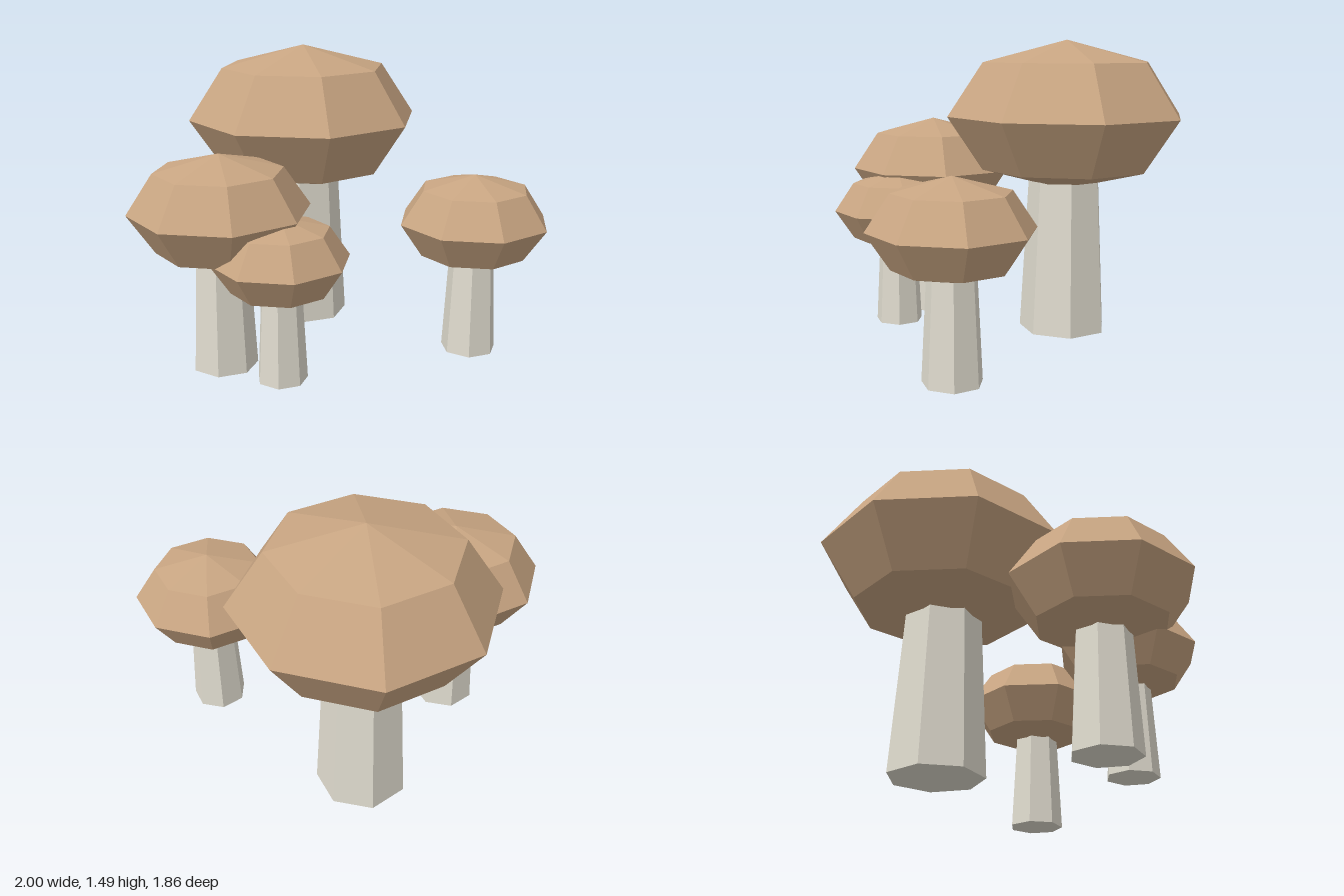
import * as THREE from 'three';

const capMaterial = new THREE.MeshStandardMaterial({ color: 0xc8a582, flatShading: true });
const stemMaterial = new THREE.MeshStandardMaterial({ color: 0xe0dccf, flatShading: true });

// One mushroom with a cap of radius 1; all mushrooms are scaled copies.
const STEM_HEIGHT = 1.45;
const capGeometry = new THREE.SphereGeometry(1, 8, 4).scale(1, 0.62, 1).translate(0, 1.81, 0);
// Seven-sided tapered stem with a flat side facing the front
const stemGeometry = new THREE.CylinderGeometry(0.295, 0.37, STEM_HEIGHT, 7, 1, false, Math.PI)
  .translate(0, STEM_HEIGHT / 2, 0);

function createMushroom(name, x, z, radius) {
  const mushroom = new THREE.Group();
  mushroom.name = name;

  const cap = new THREE.Mesh(capGeometry, capMaterial);
  cap.name = 'cap';
  const stem = new THREE.Mesh(stemGeometry, stemMaterial);
  stem.name = 'stem';

  mushroom.add(cap, stem);
  mushroom.position.set(x, 0, z);
  mushroom.scale.setScalar(radius);
  return mushroom;
}

export function createModel() {
  const model = new THREE.Group();
  model.name = 'mushroomCluster';
  model.add(
    createMushroom('largeMushroom', -0.385, -0.32, 0.615),
    createMushroom('mediumMushroom', -0.335, 0.488, 0.44),
    createMushroom('sideMushroom', 0.62, -0.32, 0.378),
    createMushroom('smallMushroom', 0, 0.475, 0.333),
  );
  return model;
}
